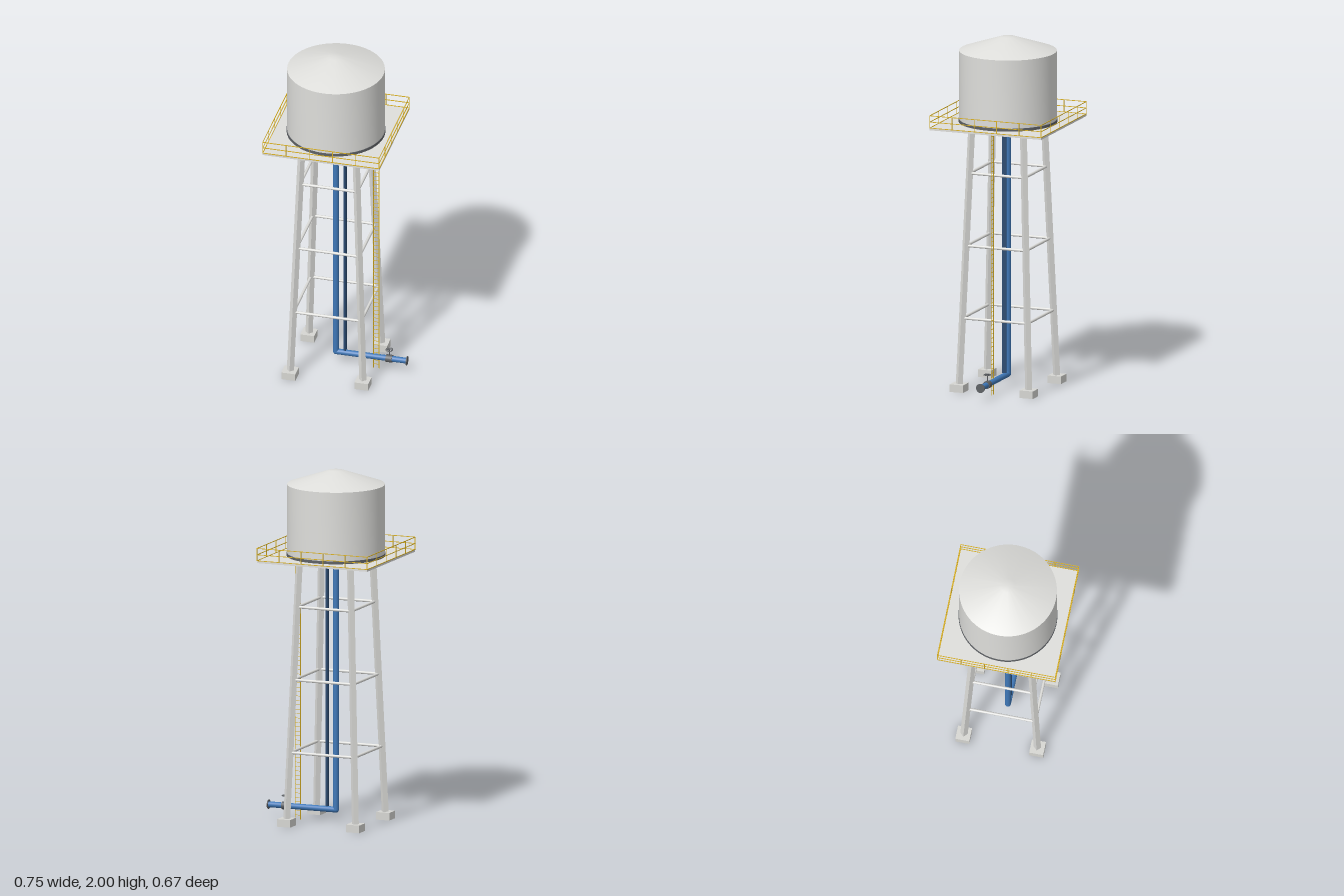
import * as THREE from 'three';
import { toCreasedNormals } from 'three/addons/utils/BufferGeometryUtils.js';

const material = (name, color) => {
  const m = new THREE.MeshStandardMaterial({ color });
  m.name = name;
  return m;
};

export function createModel() {
  const steel = material('pale steel', 0xdededb);
  const concrete = material('concrete', 0xd6d6d2);
  const blue = material('blue pipe', 0x3f78b8);
  const navy = material('dark blue', 0x2b4a70);
  const dark = material('dark iron', 0x5e6165);
  const yellow = material('safety yellow', 0xd6ae22);

  const model = new THREE.Group();
  model.name = 'waterTower';
  const CX = -0.037; // tower axis, the outlet pipe reaches out to +x
  const DECK = 1.515;
  const HALF = 0.335;

  const add = (parent, name, geometry, mat, x = 0, y = 0, z = 0) => {
    const mesh = new THREE.Mesh(geometry, mat);
    mesh.name = name;
    mesh.position.set(x, y, z);
    parent.add(mesh);
    return mesh;
  };
  const group = (name, parent = model) => {
    const g = new THREE.Group();
    g.name = name;
    parent.add(g);
    return g;
  };
  const box = (parent, name, mat, w, h, d, x, y, z) =>
    add(parent, name, new THREE.BoxGeometry(w, h, d), mat, x, y, z);
  // Round or polygonal bar between two points
  const bar = (parent, name, mat, a, b, r, sides = 12) => {
    const from = new THREE.Vector3(...a), to = new THREE.Vector3(...b);
    const dir = to.clone().sub(from);
    let geo = new THREE.CylinderGeometry(r, r, dir.length(), sides);
    if (sides < 8) geo = toCreasedNormals(geo, 0.5);
    const mesh = add(parent, name, geo, mat);
    mesh.position.copy(from).add(to).multiplyScalar(0.5);
    mesh.quaternion.setFromUnitVectors(new THREE.Vector3(0, 1, 0), dir.normalize());
    return mesh;
  };

  const tower = group('tower');
  tower.position.x = CX;

  // Tank: wall and shallow conical roof with a small flat crown
  const profile = [[0, 1.52], [0.273, 1.52], [0.273, 1.92], [0.042, 1.998], [0, 2.0]]
    .map(([r, y]) => new THREE.Vector2(r, y));
  add(tower, 'tank', toCreasedNormals(new THREE.LatheGeometry(profile, 48), 0.6), steel);
  add(tower, 'tankBaseRing', new THREE.CylinderGeometry(0.276, 0.276, 0.016, 48), dark, 0, 1.523, 0);

  // Square deck
  box(tower, 'deck', steel, 2 * HALF, 0.012, 2 * HALF, 0, DECK - 0.006, 0);

  // Guard rail, one side built four times
  for (let side = 0; side < 4; side++) {
    const rail = group('guardRail', tower);
    rail.rotation.y = side * Math.PI / 2;
    for (const y of [1.586, 1.55, DECK + 0.001])
      box(rail, 'railBar', yellow, 2 * HALF, 0.0035, 0.0035, 0, y, HALF);
    for (let i = 0; i < 5; i++)
      box(rail, 'railPost', yellow, 0.0035, 0.07, 0.0035, -HALF + i * 0.134, 1.551, HALF);
  }

  // Splayed legs on footings
  const spread = y => 0.21 - 0.055 * y / 1.505;
  for (const sx of [-1, 1]) for (const sz of [-1, 1]) {
    const b = spread(0.03), t = spread(1.505);
    bar(tower, 'leg', steel, [sx * b, 0.03, sz * b], [sx * t, 1.505, sz * t], 0.021, 4);
    box(tower, 'footing', concrete, 0.08, 0.043, 0.08, sx * 0.21, 0.0215, sz * 0.21);
  }

  // Three levels of horizontal braces
  for (const y of [0.415, 0.826, 1.238]) {
    const s = spread(y);
    for (const k of [-1, 1]) {
      bar(tower, 'brace', steel, [-s, y, k * s], [s, y, k * s], 0.008);
      bar(tower, 'brace', steel, [k * s, y, -s], [k * s, y, s], 0.008);
    }
  }

  // Supply pipe: riser, elbow, outlet and end flange
  const pipe = group('supplyPipe');
  const R = 0.0165, PY = 0.073;
  bar(pipe, 'riser', blue, [CX, PY, 0], [CX, 1.505, 0], R, 20);
  add(pipe, 'elbow', new THREE.SphereGeometry(R, 20, 12), blue, CX, PY, 0);
  bar(pipe, 'outlet', blue, [CX, PY, 0], [0.371, PY, 0], R, 20);
  bar(pipe, 'endFlange', dark, [0.37, PY, 0], [0.374, PY, 0], 0.026, 24);
  box(pipe, 'overflowDuct', navy, 0.012, 1.415, 0.023, 0.016, 0.7975, 0);

  // Valve with handwheel
  const valve = group('valve');
  valve.position.set(0.27, PY, 0);
  bar(valve, 'valveBody', dark, [-0.018, 0, 0], [0.018, 0, 0], 0.022, 20);
  bar(valve, 'valveStem', dark, [0, 0, 0], [0, 0.058, 0], 0.003);
  const wheel = add(valve, 'handwheel', new THREE.TorusGeometry(0.019, 0.0025, 8, 24), dark, 0, 0.057, 0);
  wheel.rotation.x = Math.PI / 2;
  box(valve, 'wheelSpoke', dark, 0.038, 0.003, 0.004, 0, 0.057, 0);
  box(valve, 'wheelSpoke', dark, 0.004, 0.003, 0.038, 0, 0.057, 0);

  // Access ladder
  const ladder = group('ladder');
  for (const x of [0.179, 0.211])
    box(ladder, 'ladderRail', yellow, 0.003, 1.505, 0.003, x, 0.7525, 0);
  for (let y = 0.025; y < 1.5; y += 0.025)
    box(ladder, 'rung', yellow, 0.032, 0.0022, 0.0022, 0.195, y, 0);

  return model;
}
